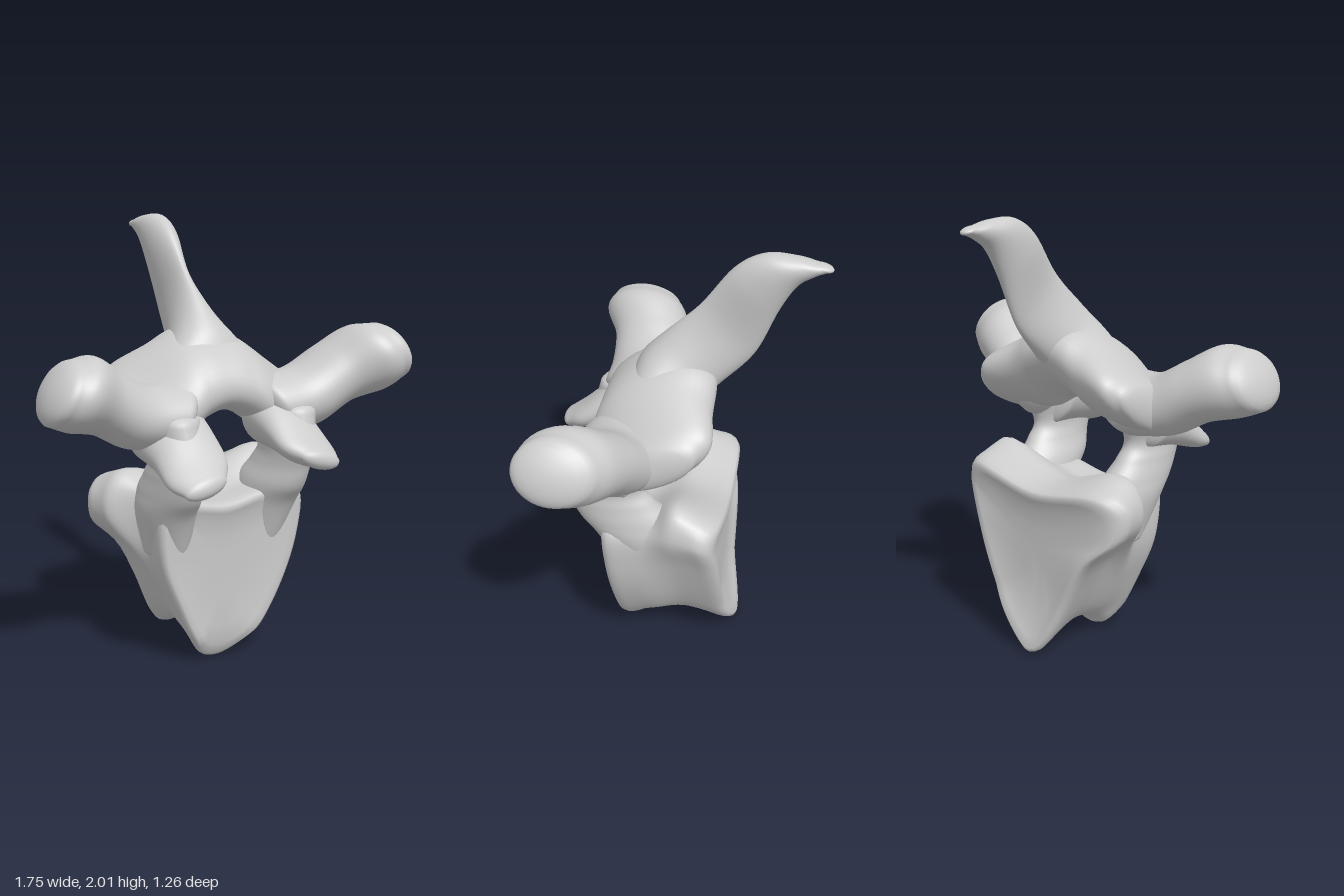
import * as THREE from 'three';
import { mergeVertices } from 'three/addons/utils/BufferGeometryUtils.js';

const bone = new THREE.MeshStandardMaterial({ color: 0xcccccc });
bone.name = 'bone grey';
const V = (x, y, z) => new THREE.Vector3(x, y, z);

// Joins equal-length rings of points into one smooth closed skin
function skin(name, rings, flip) {
  const n = rings[0].length, pos = [], idx = [];
  rings.forEach((r) => r.forEach((p) => pos.push(p.x, p.y, p.z)));
  for (let j = 0; j < rings.length - 1; j++) {
    for (let i = 0; i < n; i++) {
      const k = (i + 1) % n;
      const a = j * n + i, b = j * n + k, c = (j + 1) * n + k, d = (j + 1) * n + i;
      if (flip) idx.push(a, d, b, b, d, c);
      else idx.push(a, b, d, b, c, d);
    }
  }
  let geo = new THREE.BufferGeometry();
  geo.setAttribute('position', new THREE.Float32BufferAttribute(pos, 3));
  geo.setIndex(idx);
  geo = mergeVertices(geo, 1e-5);
  geo.computeVertexNormals();
  const mesh = new THREE.Mesh(geo, bone);
  mesh.name = name;
  return mesh;
}

// Elliptical loft: rows are [x, y, z, half size along u, half size along v], ends are domed
function loft(name, rows, u, v, dome = 0.05) {
  u = u.clone().normalize();
  v = v.clone().normalize();
  const path = new THREE.CatmullRomCurve3(rows.map((r) => V(r[0], r[1], r[2])), false, 'catmullrom');
  const size = new THREE.CatmullRomCurve3(rows.map((r) => V(r[3], r[4], 0)), false, 'catmullrom');
  const rings = [], n = 40, steps = rows.length * 8;
  const ring = (c, s, k) => rings.push(Array.from({ length: n }, (_, i) => {
    const t = (i / n) * Math.PI * 2;
    return c.clone().addScaledVector(u, Math.cos(t) * s.x * k).addScaledVector(v, Math.sin(t) * s.y * k);
  }));
  const cap = (t, sign, q) => {
    const c = path.getPoint(t).addScaledVector(path.getTangent(t), sign * dome * Math.sin(q));
    ring(c, size.getPoint(t), q > 1.57 ? 0 : Math.cos(q));
  };
  for (let i = 6; i > 0; i--) cap(0, -1, (i / 6) * Math.PI / 2);
  for (let i = 0; i <= steps; i++) ring(path.getPoint(i / steps), size.getPoint(i / steps), 1);
  for (let i = 1; i <= 6; i++) cap(1, 1, (i / 6) * Math.PI / 2);
  const along = path.getPoint(1).sub(path.getPoint(0));
  return skin(name, rings, u.clone().cross(v).dot(along) < 0);
}

// Heart-shaped body with dished ends, a concave underside and flared rear corners
function makeBody() {
  const front = [[-0.03, -0.04], [0.07, -0.02], [0.21, 0.1], [0.33, 0.32], [0.4, 0.55], [0.4, 0.76], [0.22, 0.78],
    [0, 0.74], [-0.2, 0.77], [-0.33, 0.77], [-0.33, 0.5], [-0.24, 0.26], [-0.12, 0.02]];
  const back = [[-0.03, -0.03], [0.06, 0], [0.2, 0.14], [0.31, 0.35], [0.41, 0.6], [0.47, 0.79], [0.37, 0.92],
    [0, 0.8], [-0.34, 0.87], [-0.47, 0.8], [-0.48, 0.63], [-0.3, 0.44], [-0.12, 0.06]];
  const outline = (pts) => new THREE.CatmullRomCurve3(pts.map((p) => V(p[0], p[1], 0)), true, 'catmullrom', 0.5);
  const f = outline(front), b = outline(back), n = 78;
  // Each row: position front to back, scale of the outline, inward dish
  const rows = [[0, 0, 0.025], [0, 0.35, 0.025], [0, 0.65, 0.02], [0, 0.82, 0.006], [0, 0.91, 0], [0.02, 0.96, 0], [0.06, 0.99, 0]];
  for (let i = 1; i < 18; i++) rows.push([0.06 + (i / 18) * 0.88, 1, 0]);
  rows.push([0.94, 0.99, 0], [0.98, 0.96, 0], [1, 0.91, 0], [1, 0.82, -0.008], [1, 0.65, -0.025], [1, 0.35, -0.03], [1, 0, -0.03]);
  const rings = rows.map(([s, scale, dish]) => {
    const flare = THREE.MathUtils.smoothstep(s, 0.3, 0.65);
    const slope = THREE.MathUtils.smoothstep(s, 0.6, 1);
    const waist = Math.sin(Math.PI * s);
    return Array.from({ length: n }, (_, i) => {
      const p = f.getPoint(i / n).lerp(b.getPoint(i / n), flare);
      const low = Math.max(0, 1 - p.y / 0.4);
      p.x *= 1 - 0.07 * waist;
      p.y += 0.1 * waist * low * low;
      // Rear upper corners slope down towards the back
      p.y -= 0.4 * slope * Math.max(0, p.y - 0.74);
      p.x *= scale;
      p.y = 0.48 + (p.y - 0.48) * scale;
      const zFront = 0.26 + 0.05 * p.y - 0.05 * Math.max(0, 1 - p.y / 0.1);
      const zBack = -0.255 - 0.045 * Math.max(0, 1 - p.y / 0.25) + 0.05 * Math.pow(Math.abs(p.x) / 0.45, 6);
      p.z = zFront + (zBack - zFront) * s - dish;
      return p;
    });
  });
  return skin('vertebralBody', rings, true);
}

export function createModel() {
  const model = new THREE.Group();
  model.name = 'vertebra';
  model.add(makeBody());

  // Roof of the arch, running from side to side
  const half = [[0.1, 1.305, 0.08, 0.275, 0.16], [0.2, 1.25, 0.085, 0.28, 0.165], [0.35, 1.195, 0.05, 0.265, 0.125],
    [0.42, 1.17, 0.06, 0.22, 0.1]];
  const otherHalf = half.map(([x, ...r]) => [-x, ...r]).reverse();
  model.add(loft('archRoof', [...otherHalf, [0, 1.325, 0.08, 0.27, 0.15], ...half], V(0, 0.4, -0.92), V(0, 0.92, 0.4)));

  // Tall blade sweeping up and back to a hooked tip
  model.add(loft('spinousProcess', [
    [0, 1.31, 0.1, 0.26, 0.14], [0, 1.39, 0.03, 0.18, 0.165], [0, 1.49, -0.07, 0.1, 0.168], [0, 1.635, -0.21, 0.05, 0.16],
    [0, 1.83, -0.325, 0.068, 0.132], [0, 1.925, -0.42, 0.068, 0.098], [0, 1.95, -0.52, 0.052, 0.06], [0, 1.95, -0.59, 0.035, 0.03],
  ], V(1, 0, 0), V(0, 0.65, 0.75), 0.04));

  for (const [side, s] of [['left', 1], ['right', -1]]) {
    // The right side droops and sits further back towards its ends
    const place = (rows, droop = 0, setback = 0, shift = 0) => rows.map(([x, y, z, a, b], i) => {
      const k = s < 0 ? i / (rows.length - 1) : 0;
      return [s * x + shift, y - droop * k, z - setback * k, a, b];
    });

    // Broad foot on the body, narrowing below the roof
    model.add(loft(side + 'Pedicle', place([
      [0.24, 0.52, 0.1, 0.1, 0.16], [0.262, 0.7, 0.15, 0.12, 0.19], [0.268, 0.8, 0.2, 0.115, 0.215],
      [0.28, 0.89, 0.255, 0.095, 0.195], [0.285, 0.98, 0.29, 0.09, 0.182], [0.3, 1.15, 0.23, 0.13, 0.2],
    ], 0, 0, 0.015), V(1, 0, 0), V(0, 0, 1)));

    model.add(loft(side + 'ArticularProcess', place([
      [0.28, 1.1, 0.2, 0.16, 0.15], [0.275, 1.05, 0.36, 0.15, 0.11], [0.28, 0.99, 0.49, 0.145, 0.07],
      [0.29, 0.965, 0.57, 0.1, 0.045],
    ], 0.045, -0.015), V(s, -0.2, 0), V(0, 1, 0.2), 0.04));

    // Side arm ending in a rounded knob
    model.add(loft(side + 'TransverseProcess', place([
      [0.25, 1.15, 0.18, 0.22, 0.16], [0.42, 1.18, 0.22, 0.195, 0.145], [0.57, 1.275, 0.26, 0.185, 0.145],
      [0.7, 1.345, 0.325, 0.2, 0.165], [0.785, 1.375, 0.355, 0.175, 0.145],
    ], 0.07, 0.055), V(0, 0, 1), V(-0.4 * s, 0.9, 0), 0.075));
  }
  return model;
}
